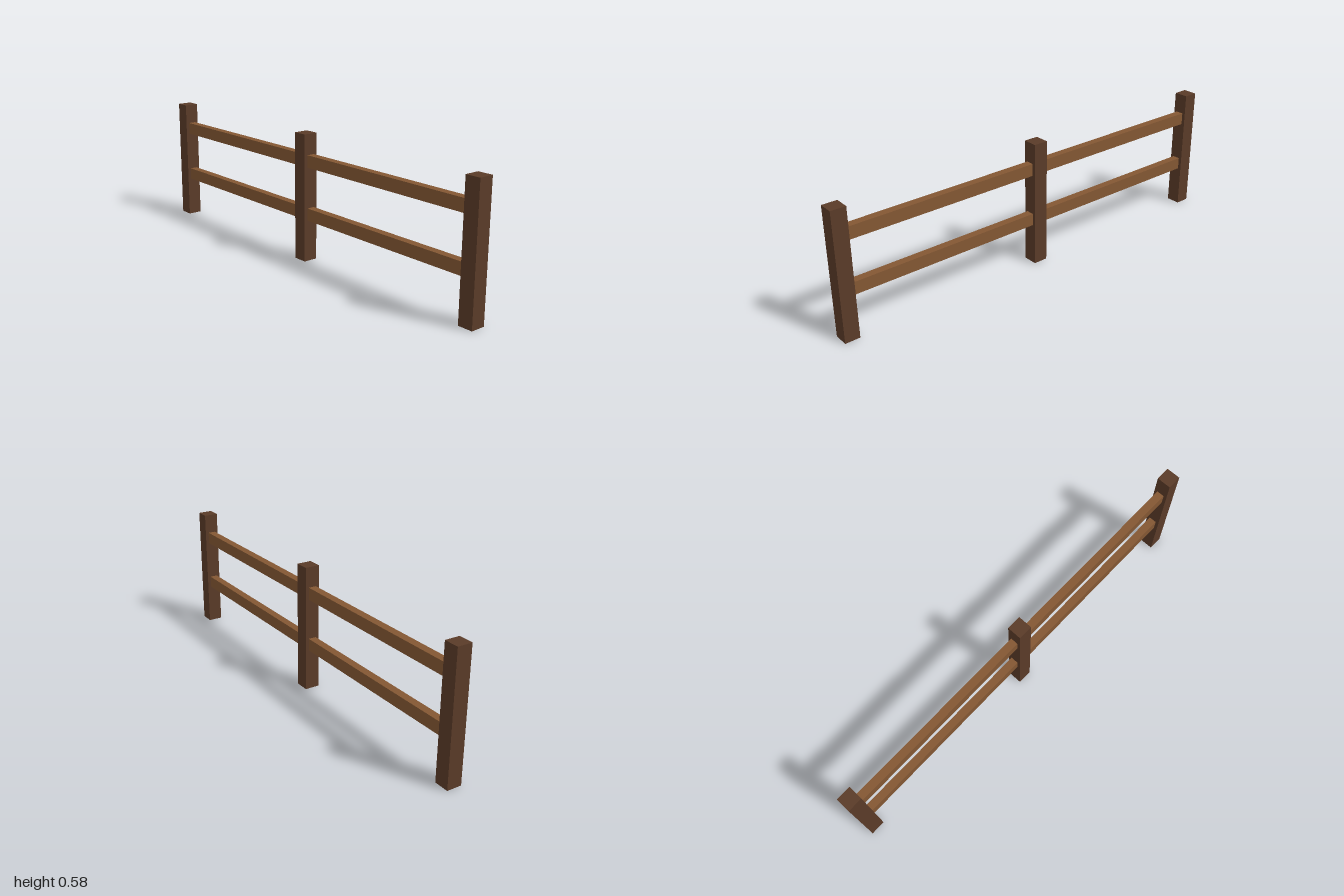
import * as THREE from 'three';

export function createModel() {
  const group = new THREE.Group();
  const postWood = new THREE.MeshStandardMaterial({ color: 0x5a3b28 });
  const railWood = new THREE.MeshStandardMaterial({ color: 0x835733 });

  const addBeam = (name, size, position, material) => {
    const mesh = new THREE.Mesh(new THREE.BoxGeometry(...size), material);
    mesh.name = name;
    mesh.position.set(...position);
    group.add(mesh);
  };

  // Three square upright posts
  const postWidth = 0.067, postHeight = 0.579;
  const postX = 1 - postWidth / 2;
  for (const [name, x] of [['rightPost', -postX], ['middlePost', 0], ['leftPost', postX]]) {
    addBeam(name, [postWidth, postHeight, postWidth], [x, postHeight / 2, 0], postWood);
  }

  // Two rails running between the end posts
  for (const [name, y] of [['lowerRail', 0.217], ['upperRail', 0.458]]) {
    addBeam(name, [postX * 2, 0.056, 0.036], [0, y, 0], railWood);
  }

  return group;
}
